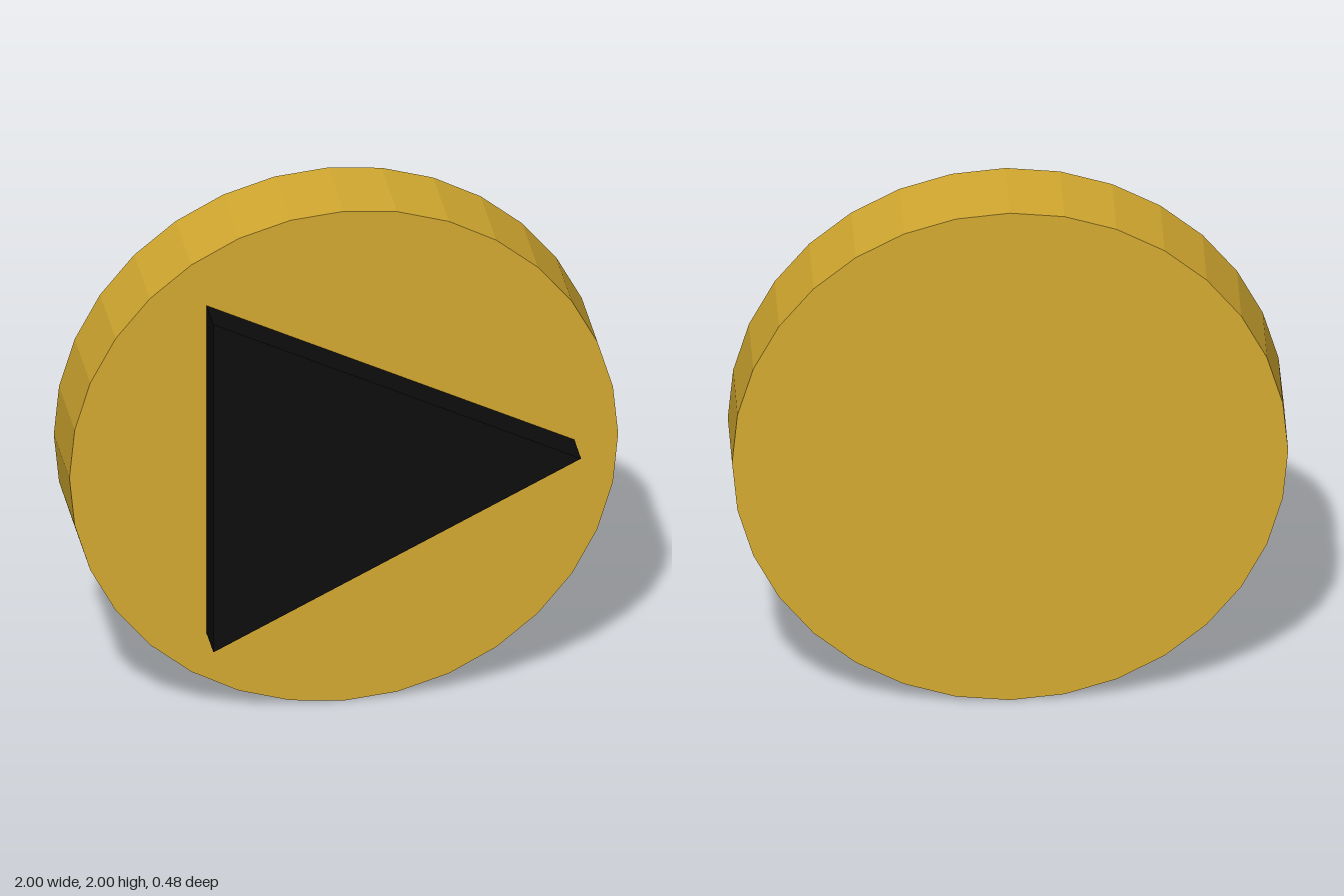
import * as THREE from 'three';

export function createModel() {
  const group = new THREE.Group();
  const back = -0.24, face = 0.095, front = 0.24;

  // Round 32-sided disc, standing upright with its axis along z
  const discGeometry = new THREE.CylinderGeometry(1, 1, face - back, 32);
  discGeometry.rotateX(Math.PI / 2);
  const disc = new THREE.Mesh(
    discGeometry,
    new THREE.MeshStandardMaterial({ color: 0xd4aa30, flatShading: true })
  );
  disc.name = 'disc';
  disc.position.set(0, 1, (face + back) / 2);
  group.add(disc);

  // Raised triangle pointing to +x on the front face
  const outline = new THREE.Shape([
    new THREE.Vector2(-0.5, 0.32),
    new THREE.Vector2(0.84, 0.99),
    new THREE.Vector2(-0.5, 1.66),
  ]);
  const triangle = new THREE.Mesh(
    new THREE.ExtrudeGeometry(outline, { depth: front - face, bevelEnabled: false }),
    new THREE.MeshStandardMaterial({ color: 0x0d0d0d, flatShading: true })
  );
  triangle.name = 'triangle';
  triangle.position.z = face;
  group.add(triangle);

  return group;
}
